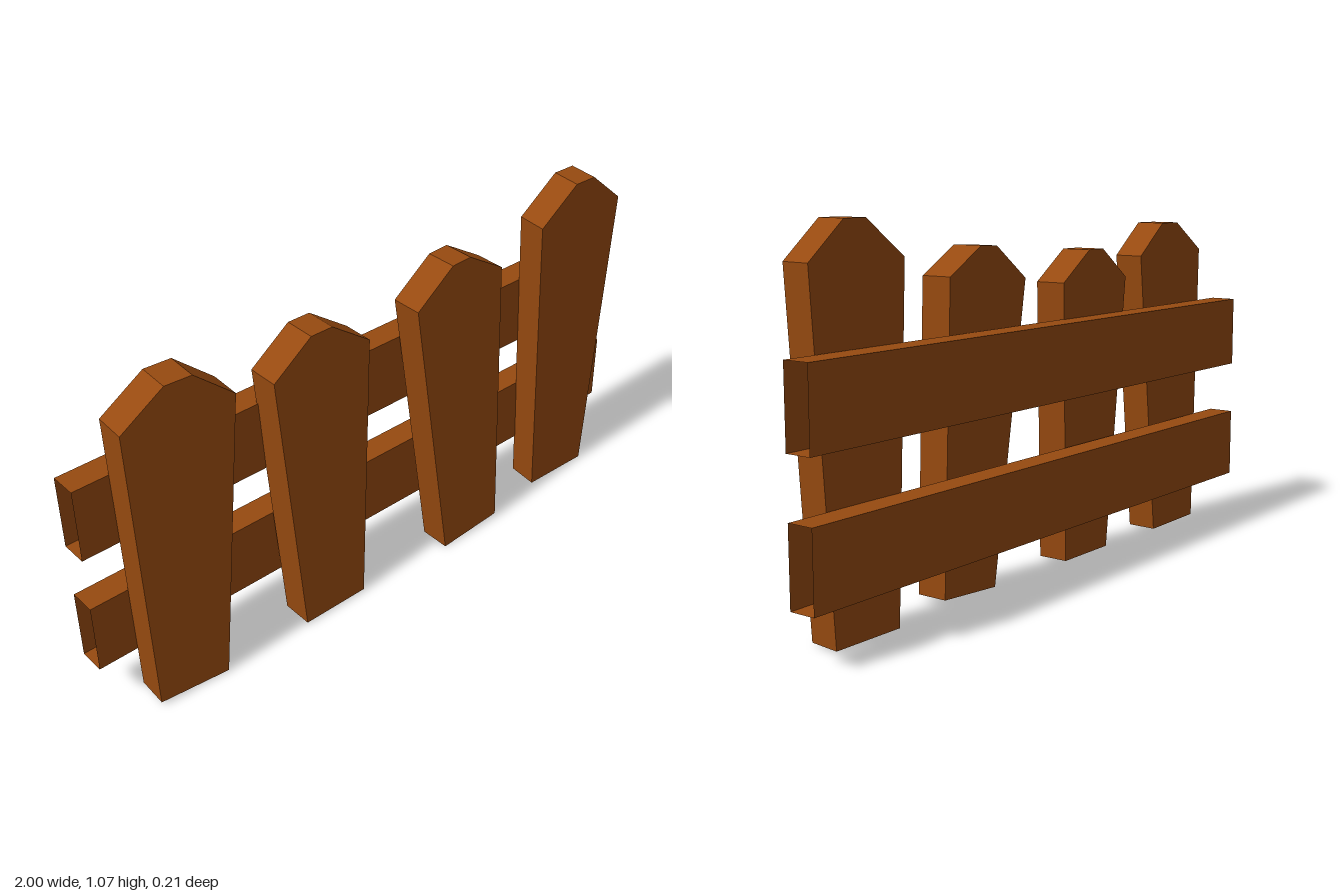
import * as THREE from 'three';

const wood = new THREE.MeshStandardMaterial({ color: 0x974a10, side: THREE.DoubleSide, flatShading: true });
wood.name = 'brown wood';

const THICKNESS = 0.097;

// Outlines run from bottom left over the pointed top to bottom right.
// back: z of the back face at the foot; lean: z gained per unit height;
// yaw: z gained per unit x; shift: x offset of the back face.
const pickets = [
  { outline: [[-0.88, 0.015], [-0.9, 0.93], [-0.77, 1.022], [-0.69, 1.022], [-0.573, 0.92], [-0.662, 0.005]],
    back: -0.02, lean: 0, yaw: 0.07, shift: 0.005 },
  { outline: [[-0.375, 0.008], [-0.43, 0.865], [-0.3, 0.957], [-0.228, 0.957], [-0.1, 0.865], [-0.155, 0.008]],
    back: -0.01, lean: -0.033, yaw: 0, shift: 0 },
  { outline: [[0.172, 0.003], [0.066, 0.89], [0.2, 0.987], [0.268, 0.99], [0.396, 0.912], [0.394, 0.018]],
    back: 0.007, lean: -0.035, yaw: 0, shift: 0 },
  { outline: [[0.61, 0.008], [0.565, 0.975], [0.7, 1.077], [0.775, 1.077], [0.896, 0.975], [0.838, 0.008]],
    back: -0.03, lean: 0.006, yaw: 0.02, shift: 0.011 },
];

// Tapered board with an open foot
function picketGeometry({ outline, back, lean, yaw, shift }) {
  const midX = (outline[0][0] + outline[5][0]) / 2;
  const rear = outline.map(([x, y]) => [x + shift, y, back + lean * y + yaw * (x - midX)]);
  const front = outline.map(([x, y], i) => [x, y, rear[i][2] + THICKNESS]);
  const positions = [];
  const tri = (a, b, c) => positions.push(...a, ...b, ...c);
  for (let i = 1; i < 5; i++) {
    tri(front[0], front[i + 1], front[i]);
    tri(rear[0], rear[i], rear[i + 1]);
  }
  for (let i = 0; i < 5; i++) {
    tri(front[i], front[i + 1], rear[i + 1]);
    tri(front[i], rear[i + 1], rear[i]);
  }
  const geometry = new THREE.BufferGeometry();
  geometry.setAttribute('position', new THREE.Float32BufferAttribute(positions, 3));
  geometry.computeVertexNormals();
  return geometry;
}

// Horizontal board with both ends open
function railGeometry(height) {
  const geometry = new THREE.BoxGeometry(2, height, 0.08);
  geometry.setIndex(Array.from(geometry.index.array).slice(12));
  geometry.clearGroups();
  return geometry;
}

export function createModel() {
  const fence = new THREE.Group();
  fence.name = 'fence';

  pickets.forEach((picket, i) => {
    const mesh = new THREE.Mesh(picketGeometry(picket), wood);
    mesh.name = `picket${i + 1}`;
    fence.add(mesh);
  });

  for (const [name, low, high] of [['lowerRail', 0.15, 0.368], ['upperRail', 0.535, 0.757]]) {
    const rail = new THREE.Mesh(railGeometry(high - low), wood);
    rail.name = name;
    rail.position.set(0, (low + high) / 2, -0.068);
    fence.add(rail);
  }
  return fence;
}
